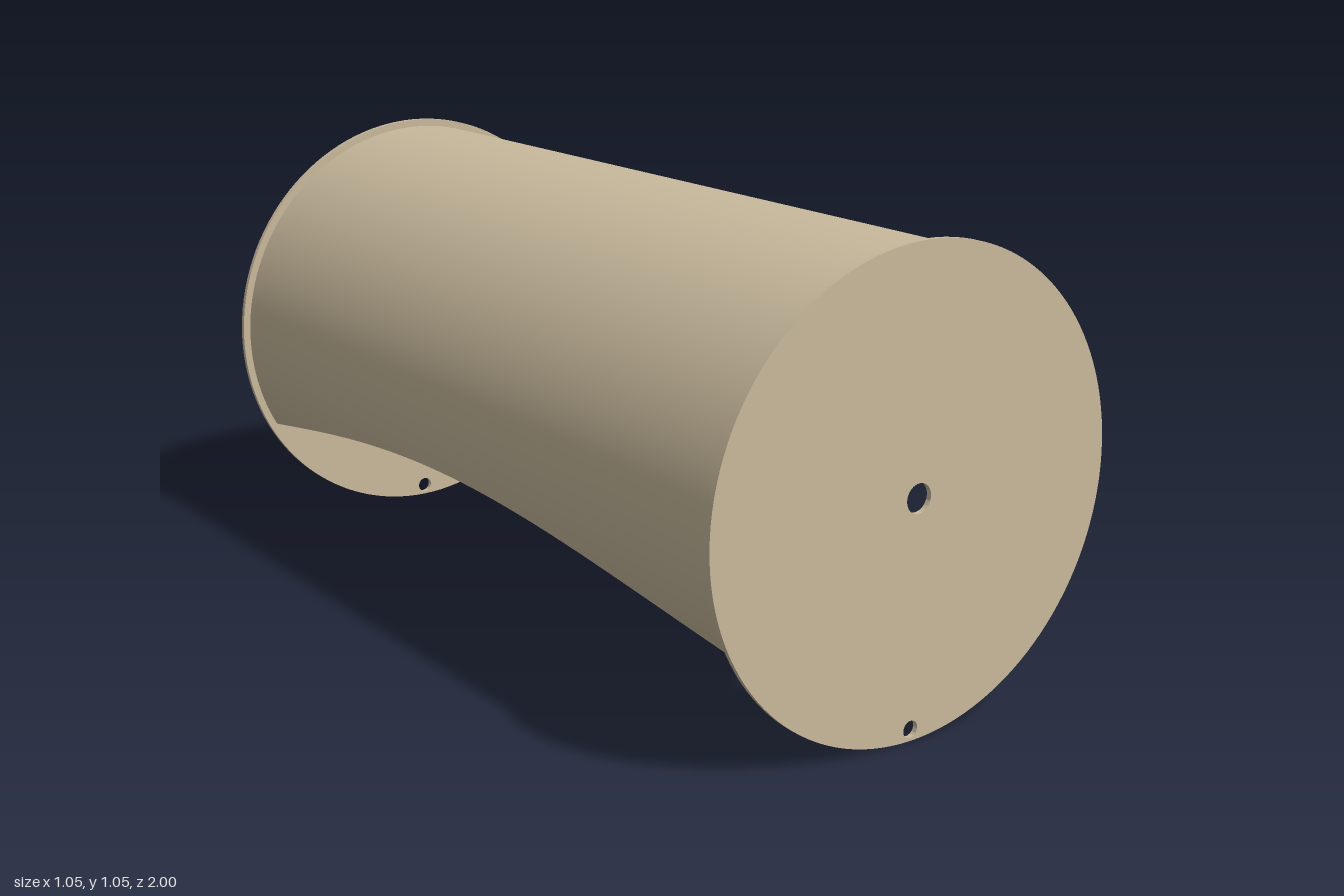
import * as THREE from 'three';
import { toCreasedNormals } from 'three/addons/utils/BufferGeometryUtils.js';

const CENTER_Y = 0.525, DISC_R = 0.524, DISC_T = 0.012;
const OUTER_R = 0.506, INNER_R = 0.494, HALF = 1 - DISC_T;

// grid surface from point(u, v); faces along dP/du x dP/dv unless flipped
function surface(point, nu, nv, flip) {
  const positions = [], index = [];
  for (let i = 0; i <= nv; i++)
    for (let j = 0; j <= nu; j++) positions.push(...point(j / nu, i / nv));
  for (let i = 0; i < nv; i++)
    for (let j = 0; j < nu; j++) {
      const a = i * (nu + 1) + j, b = a + 1, c = a + nu + 1, d = c + 1;
      if (flip) index.push(a, c, b, b, c, d);
      else index.push(a, b, c, b, d, c);
    }
  const g = new THREE.BufferGeometry();
  g.setAttribute('position', new THREE.Float32BufferAttribute(positions, 3));
  g.setIndex(index);
  g.computeVertexNormals();
  return g;
}

// angle below horizontal where the shell is cut; the edge rises toward the middle
function cutAngle(z) {
  const y = 0.277 + 0.121 * Math.cos(z * Math.PI / 2) - CENTER_Y;
  return Math.asin(y / OUTER_R);
}

function shellPoint(r, u, v) {
  const z = (v * 2 - 1) * HALF;
  const start = cutAngle(z);
  const a = start + u * (Math.PI - 2 * start);
  return [r * Math.cos(a), r * Math.sin(a), z];
}

function discGeometry() {
  const shape = new THREE.Shape().absarc(0, 0, DISC_R, 0, Math.PI * 2, false);
  // axle hole and small rim hole
  for (const [y, r] of [[0, 0.032], [-0.498, 0.019]])
    shape.holes.push(new THREE.Path().absarc(0, y, r, 0, Math.PI * 2, true));
  const g = new THREE.ExtrudeGeometry(shape, { depth: DISC_T, bevelEnabled: false, curveSegments: 64 });
  return toCreasedNormals(g, 0.6);
}

export function createModel() {
  const group = new THREE.Group();
  const tan = new THREE.MeshStandardMaterial({ color: 0xc8b99c });
  tan.name = 'tan';
  const add = (parent, name, geometry) => {
    const mesh = new THREE.Mesh(geometry, tan);
    mesh.name = name;
    parent.add(mesh);
    return mesh;
  };

  // curved cover, open underneath
  const shell = new THREE.Group();
  shell.name = 'shell';
  shell.position.y = CENTER_Y;
  group.add(shell);
  add(shell, 'shellOutside', surface((u, v) => shellPoint(OUTER_R, u, v), 80, 40, false));
  add(shell, 'shellInside', surface((u, v) => shellPoint(INNER_R, u, v), 80, 40, true));
  [['shellLeftEdge', 0], ['shellRightEdge', 1]].forEach(([name, side]) =>
    add(shell, name, surface(
      (u, v) => shellPoint(INNER_R + u * (OUTER_R - INNER_R), side, v), 1, 40, side === 1)));

  // end discs
  const disc = discGeometry();
  add(group, 'frontDisc', disc).position.set(0, CENTER_Y, HALF);
  add(group, 'backDisc', disc).position.set(0, CENTER_Y, -1);
  return group;
}
